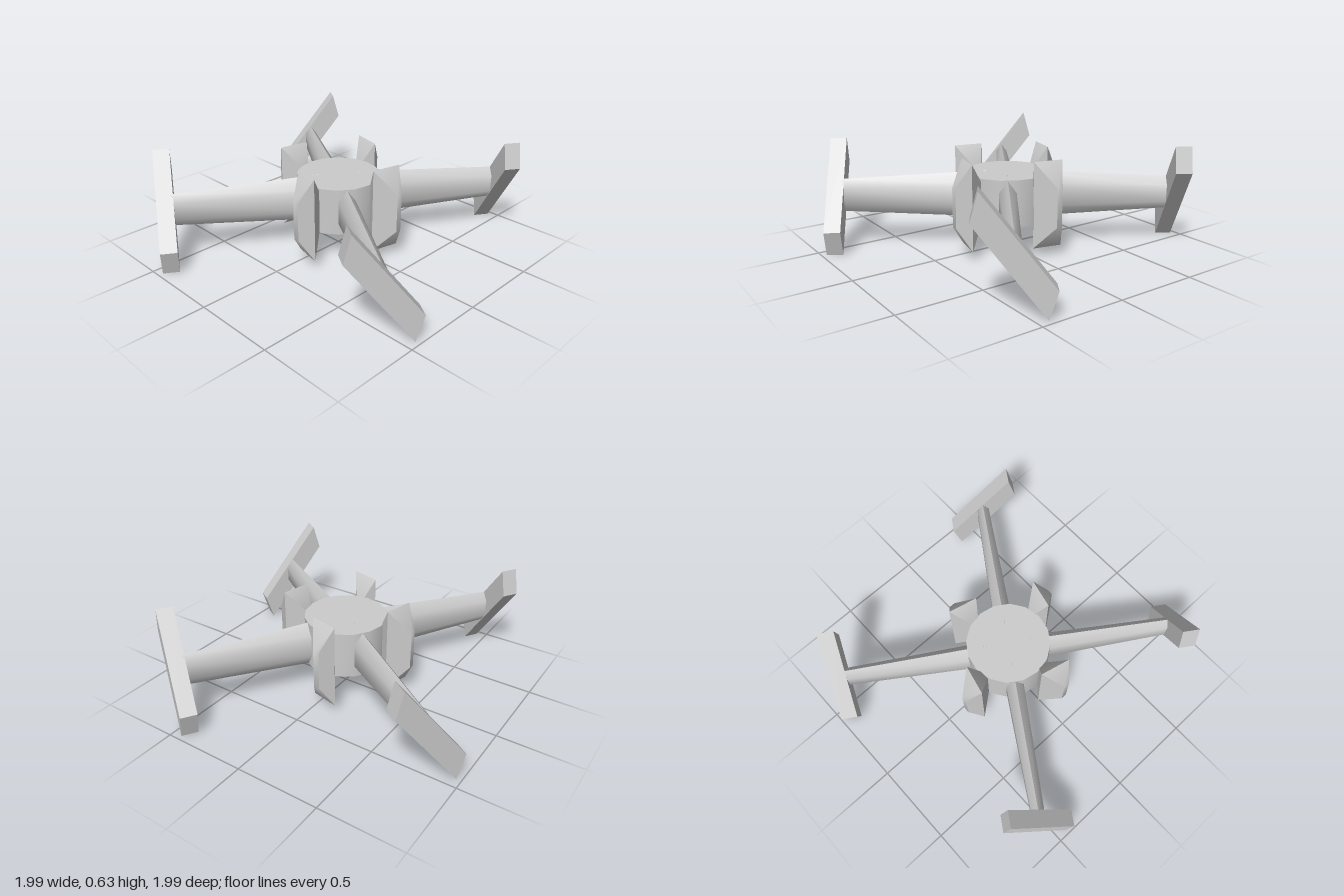
import * as THREE from 'three';
import { toCreasedNormals } from 'three/addons/utils/BufferGeometryUtils.js';
import { ConvexGeometry } from 'three/addons/geometries/ConvexGeometry.js';

const MID = 0.315; // height of the arms' centre line
const ARM_ANGLE = THREE.MathUtils.degToRad(33);
const material = new THREE.MeshStandardMaterial({ color: 0xcccccc });

function part(name, geometry, crease = 0.9) {
  const mesh = new THREE.Mesh(toCreasedNormals(geometry, crease), material);
  mesh.name = name;
  return mesh;
}

// Tapered six-sided arm, deep and narrow, lying along +x
function armGeometry() {
  const inner = 0.12, outer = 0.98;
  const g = new THREE.CylinderGeometry(0.098, 0.144, outer - inner, 6);
  g.rotateY(Math.PI / 2);
  g.rotateZ(-Math.PI / 2);
  g.scale(1, 1, 0.42);
  g.translate((inner + outer) / 2, MID + 0.003, 0);
  return g;
}

// Leaning parallelogram blade across the arm tip
function bladeGeometry() {
  const shape = new THREE.Shape([
    new THREE.Vector2(-0.16, 0),
    new THREE.Vector2(0.205, 0.48),
    new THREE.Vector2(0.165, 0.63),
    new THREE.Vector2(-0.205, 0.15),
  ]);
  const depth = 0.096;
  const g = new THREE.ExtrudeGeometry(shape, { depth, bevelEnabled: false });
  g.translate(0, 0, -depth / 2);
  g.rotateY(-Math.PI / 2);
  g.translate(1.007, 0, 0);
  return g;
}

// Upright faceted pod: tall side edges, shorter inner and outer faces
function podGeometry() {
  const columns = [ // x, z, half height
    [0.335, -0.15, 0.255], [0.295, 0.02, 0.255],
    [0.41, -0.095, 0.115], [0.41, -0.06, 0.115],
    [0.22, -0.035, 0.115], [0.22, -0.07, 0.115],
  ];
  const points = [];
  for (const [x, z, h] of columns) {
    for (const s of [-1, 1]) points.push(new THREE.Vector3(x, MID + s * h, z));
  }
  return new ConvexGeometry(points);
}

export function createModel() {
  const model = new THREE.Group();
  model.name = 'fourArmedCraft';

  // Central drum
  const hub = part('hub', new THREE.CylinderGeometry(0.245, 0.245, 0.28, 16));
  hub.position.y = MID + 0.005;
  model.add(hub);

  // Four identical quarters, each an arm with a tip blade and a pod
  for (let i = 0; i < 4; i++) {
    const quarter = new THREE.Group();
    quarter.name = 'quarter' + (i + 1);
    quarter.rotation.y = i * Math.PI / 2;

    const limb = new THREE.Group();
    limb.name = 'limb';
    limb.rotation.y = -ARM_ANGLE;
    limb.add(part('arm', armGeometry(), 1.1), part('tipBlade', bladeGeometry()));

    quarter.add(limb, part('pod', podGeometry()));
    model.add(quarter);
  }
  return model;
}
